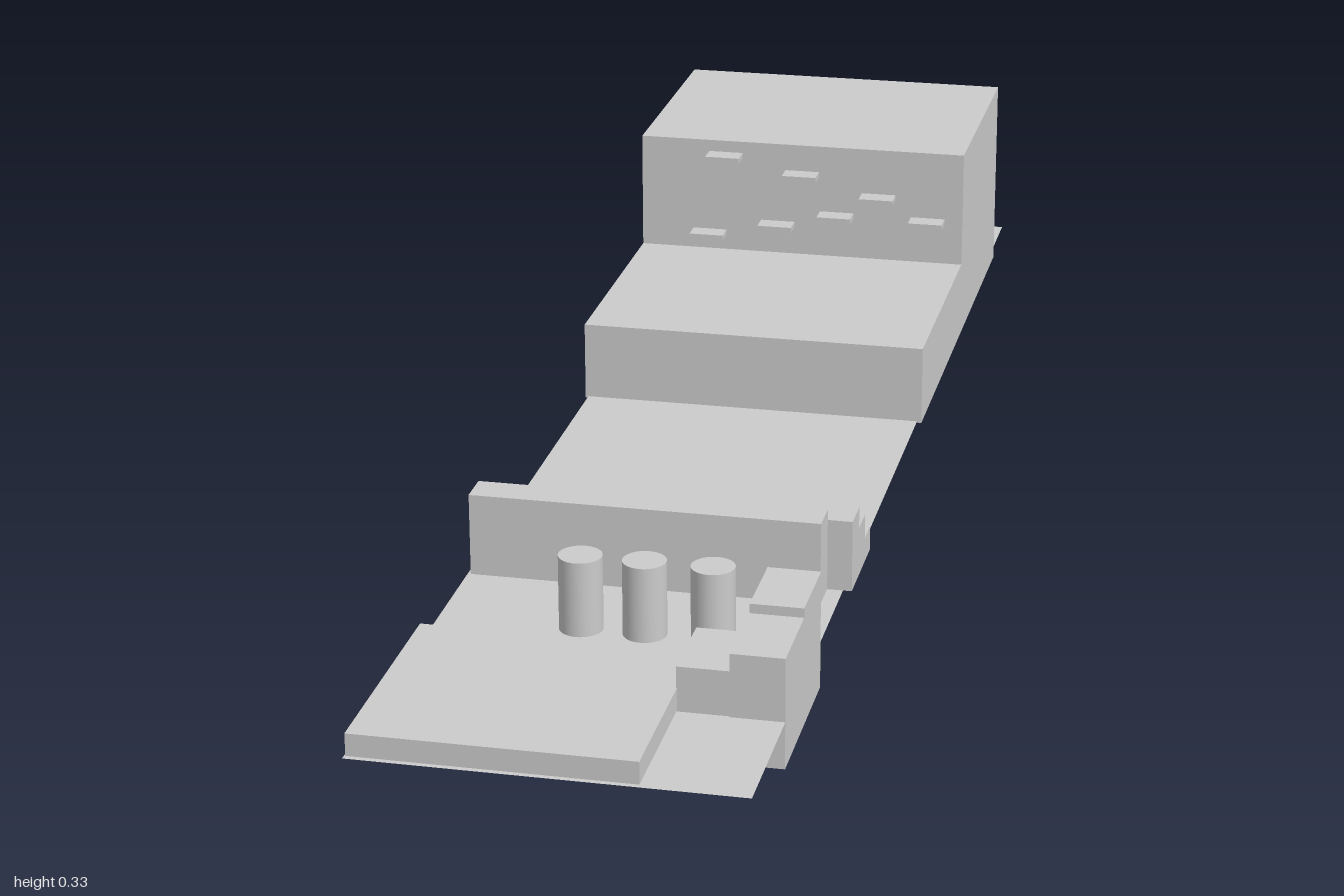
import * as THREE from 'three';

const material = new THREE.MeshStandardMaterial({ color: 0xcccccc });
const FLOOR = 0.06;

export function createModel() {
  const model = new THREE.Group();
  model.name = 'obstacleCourse';

  const add = (name, geometry, mat = material) => {
    const mesh = new THREE.Mesh(geometry, mat);
    mesh.name = name;
    model.add(mesh);
    return mesh;
  };
  // Box given by its extents along each axis
  const box = (name, [x0, x1], [y0, y1], [z0, z1]) =>
    add(name, new THREE.BoxGeometry(x1 - x0, y1 - y0, z1 - z0))
      .position.set((x0 + x1) / 2, (y0 + y1) / 2, (z0 + z1) / 2);

  // Thin ground sheet
  const sheet = new THREE.PlaneGeometry(0.468, 2).rotateX(-Math.PI / 2);
  const sheetMaterial = new THREE.MeshStandardMaterial({ color: 0xcccccc, side: THREE.DoubleSide });
  add('floor', sheet, sheetMaterial).position.set(-0.004, FLOOR, 0);

  // Two-level block at the back, one stepped profile extruded across x
  const profile = new THREE.Shape([
    [0.14, 0.058], [0.14, 0.167], [0.5, 0.167], [0.5, 0.334], [0.858, 0.334], [0.858, 0.058],
  ].map(([x, y]) => new THREE.Vector2(x, y)));
  const block = new THREE.ExtrudeGeometry(profile, { depth: 0.478, bevelEnabled: false });
  block.rotateY(Math.PI / 2);
  add('steppedBlock', block).position.set(-0.242, 0, 0);

  // Climbing ledges on the upper face
  const ledges = [
    [-0.116, 0.313], [-0.002, 0.291], [0.112, 0.263], [0.05, 0.231],
    [0.185, 0.231], [-0.038, 0.212], [-0.14, 0.193],
  ];
  for (const [x, y] of ledges) {
    box('ledge', [x - 0.025, x + 0.025], [y - 0.004, y + 0.004], [-0.505, -0.471]);
  }

  // Cross wall with a small staircase behind it
  box('wall', [-0.234, 0.21], [FLOOR, 0.167], [0.438, 0.484]);
  const steps = [[0.39, 0.438, 0.153], [0.347, 0.39, 0.125], [0.307, 0.347, 0.092]];
  for (const [z0, z1, top] of steps) box('stair', [0.138, 0.241], [FLOOR, top], [z0, z1]);

  // Round pillars passing through the floor
  for (const x of [-0.06, 0.019, 0.103]) {
    add('pillar', new THREE.CylinderGeometry(0.027, 0.027, 0.135, 40)).position.set(x, 0.089, 0.61);
  }

  // Low platform and the blocks stepping up beside it
  box('platform', [-0.235, 0.103], [0.062, 0.09], [0.7, 0.997]);
  box('lowBlock', [0.102, 0.165], [0, 0.117], [0.7, 0.808]);
  box('middleBlock', [0.165, 0.23], [0, 0.14], [0.697, 0.81]);
  box('highBlock', [0.165, 0.23], [0, 0.152], [0.59, 0.697]);

  return model;
}
